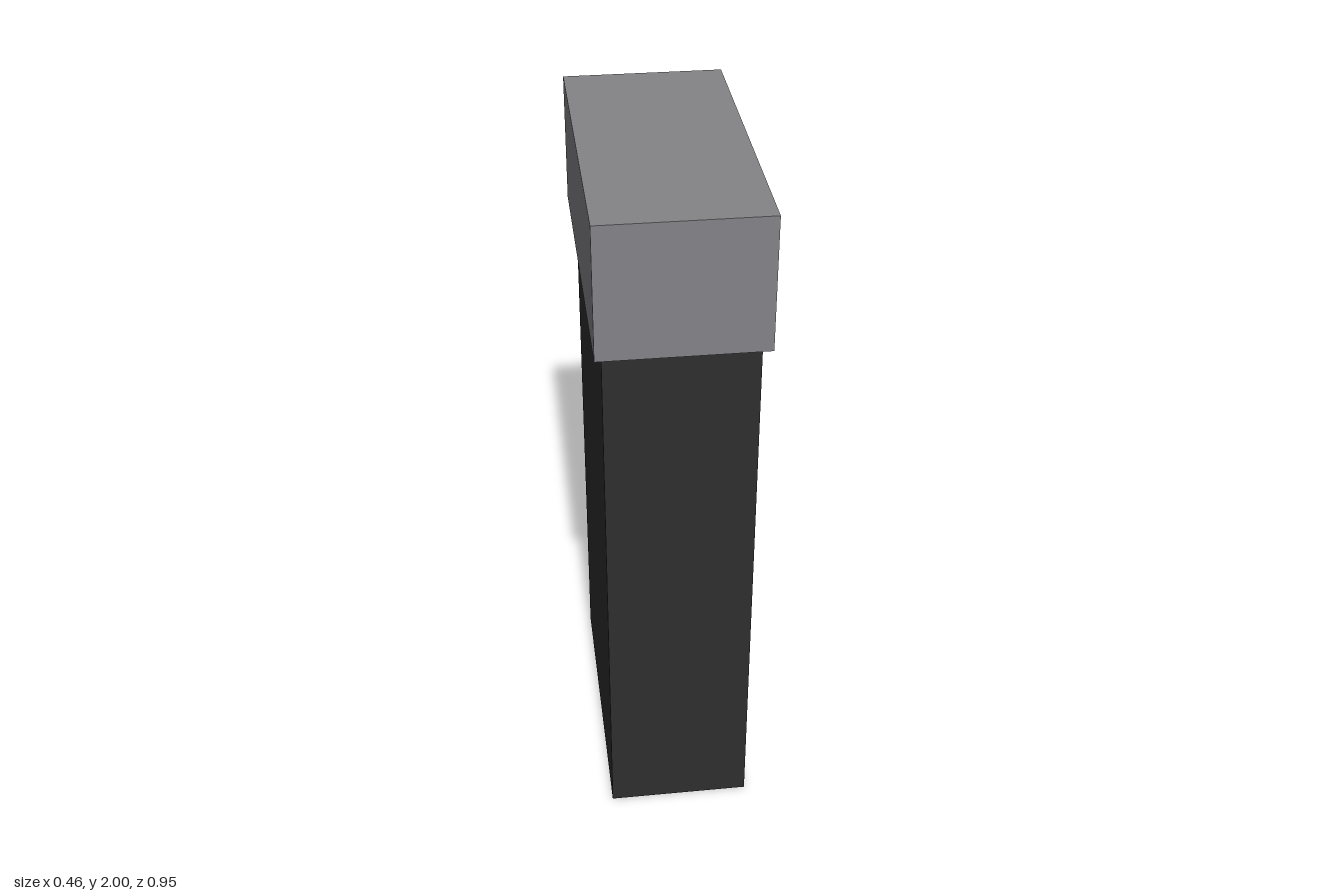
import * as THREE from 'three';

export function createModel() {
  const charcoal = new THREE.MeshStandardMaterial({ name: 'charcoal', color: 0x2e2e2e });
  const grey = new THREE.MeshStandardMaterial({ name: 'grey', color: 0x848488 });
  const green = new THREE.MeshStandardMaterial({ name: 'green', color: 0x3fcd56 });

  const group = new THREE.Group();
  group.name = 'dispenserPillar';

  // Box given by its limits on each axis
  function box(name, material, [x0, x1], [y0, y1], [z0, z1]) {
    const mesh = new THREE.Mesh(new THREE.BoxGeometry(x1 - x0, y1 - y0, z1 - z0), material);
    mesh.position.set((x0 + x1) / 2, (y0 + y1) / 2, (z0 + z1) / 2);
    mesh.name = name;
    group.add(mesh);
  }

  // Upright body and overhanging cap
  box('body', charcoal, [-0.208, 0.206], [0, 1.625], [-0.428, 0.428]);
  box('cap', grey, [-0.229, 0.226], [1.625, 2], [-0.475, 0.475]);

  // Raised panel on the left side
  box('panel', charcoal, [0.2, 0.22], [0.862, 1.525], [-0.343, 0.343]);

  // Two buttons under the panel
  [0.29, 0.48].forEach((y, i) => {
    box(`button${i + 1}`, charcoal, [0.2, 0.226], [y, y + 0.112], [-0.283, -0.094]);
  });

  // Cross on the panel: one outline, extruded outwards along +x
  const w = 0.037, arm = 0.19, low = 0.955, high = 1.43, barLow = 1.125, barHigh = 1.166;
  const outline = [
    [-w, low], [w, low], [w, barLow], [arm, barLow], [arm, barHigh], [w, barHigh],
    [w, high], [-w, high], [-w, barHigh], [-arm, barHigh], [-arm, barLow], [-w, barLow],
  ].map(([x, y]) => new THREE.Vector2(x, y));
  const cross = new THREE.Mesh(
    new THREE.ExtrudeGeometry(new THREE.Shape(outline), { depth: 0.009, bevelEnabled: false }),
    green
  );
  cross.name = 'cross';
  cross.rotation.y = Math.PI / 2;
  cross.position.x = 0.22;
  group.add(cross);

  return group;
}
